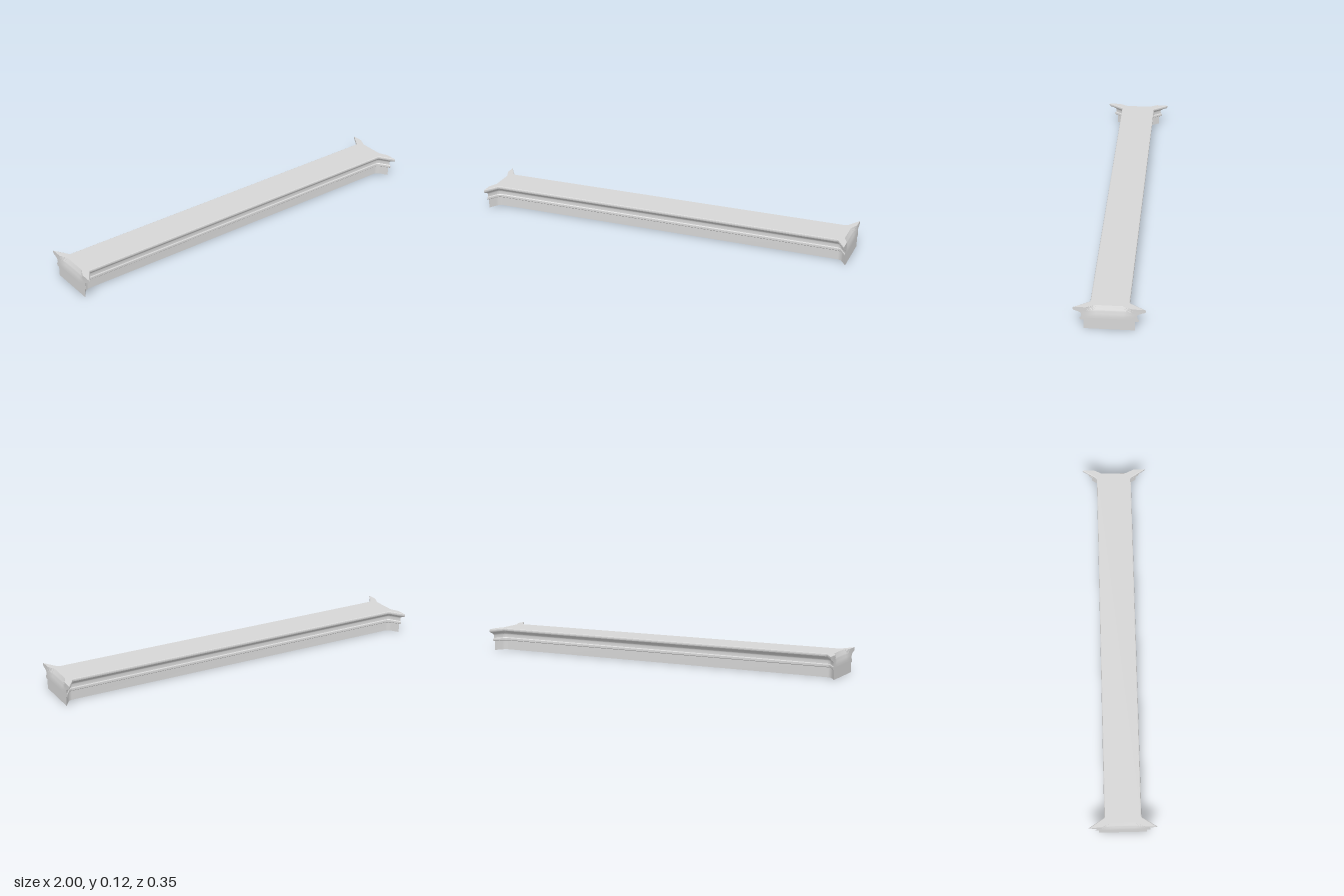
import * as THREE from 'three';
import { toCreasedNormals } from 'three/addons/utils/BufferGeometryUtils.js';

// moulding profile at the flared ends: [half width, height]
const PROFILE = [
  [0.122, 0], [0.122, 0.05], [0.134, 0.051], [0.139, 0.054], [0.14, 0.06],
  [0.138, 0.065], [0.132, 0.069], [0.131, 0.085], [0.134, 0.09], [0.141, 0.095],
  [0.153, 0.1], [0.165, 0.104], [0.171, 0.109], [0.173, 0.115], [0.171, 0.12], [0.165, 0.122],
];
const TOP = 0.122;
const BASE = 0.122;        // half width of the base at the ends
const MIDDLE = 0.066;      // half width of the base along the middle
const RADIUS = 0.04;       // bend between the straight side and the flare
const ANGLE = Math.atan(1.55);
const BENDS = 6;
// x where the bend starts, so that the flare meets the base width at x = 1
const BEND_X = 1 - (BASE - MIDDLE - RADIUS + RADIUS / Math.cos(ANGLE)) / Math.tan(ANGLE);

// plan line [x, z] of one side: the moulding keeps its depth round the bend,
// so the slanting cut at the end stretches it
function sideLine(half) {
  const r = RADIUS - (half - BASE) * Math.cos(ANGLE);
  const pts = [];
  for (let i = 0; i <= BENDS; i++) {
    const a = ANGLE * i / BENDS;
    pts.push([BEND_X + r * Math.sin(a), MIDDLE + RADIUS - r * Math.cos(a)]);
  }
  pts.push([1, half]);
  return [...pts.map(([x, z]) => [-x, z]).reverse(), ...pts];
}

// surface through a grid of points given as rows of columns
function gridGeometry(rows, cols, point) {
  const pos = [], index = [];
  for (let r = 0; r < rows; r++) {
    for (let c = 0; c < cols; c++) pos.push(...point(r, c));
  }
  for (let r = 0; r < rows - 1; r++) {
    for (let c = 0; c < cols - 1; c++) {
      const a = r * cols + c, d = a + cols;
      index.push(a, a + 1, d + 1, a, d + 1, d);
    }
  }
  const geo = new THREE.BufferGeometry();
  geo.setAttribute('position', new THREE.Float32BufferAttribute(pos, 3));
  geo.setIndex(index);
  return toCreasedNormals(geo, 0.4);
}

// depth of the hollow in the upper part of each end
function hollow(y) {
  if (y <= 0.069) return 0;
  return y < 0.1 ? 0.01 * (y - 0.069) / 0.031 : 0.01 + 0.012 * (y - 0.1) / (TOP - 0.1);
}

// plan outline at a given half width, with hollowed ends of depth d
function outline(half, d) {
  const front = sideLine(half);
  const right = [[1, 0.11], [1 - d, 0.065], [1 - d, -0.065], [1, -0.11]];
  const turn = ([x, z]) => [-x, -z];
  const pts = [...front, ...right, ...front.map(turn), ...right.map(turn)];
  return new THREE.Shape(pts.map(([x, z]) => new THREE.Vector2(x, z)));
}

export function createModel() {
  const group = new THREE.Group();
  const stone = new THREE.MeshStandardMaterial({ color: 0xd6d6d6 });
  stone.name = 'light grey';

  const add = (name, geo, turn = 0) => {
    const mesh = new THREE.Mesh(geo, stone);
    mesh.name = name;
    mesh.rotation.y = turn;
    group.add(mesh);
  };

  // long moulded sides with flared ends
  const lines = PROFILE.map(([half]) => sideLine(half));
  const side = gridGeometry(PROFILE.length, lines[0].length, (r, c) => {
    const [x, z] = lines[r][c];
    return [x, PROFILE[r][1], z];
  });
  add('frontMoulding', side);
  add('backMoulding', side, Math.PI);

  // end faces, hollowed towards the top
  const end = gridGeometry(PROFILE.length, 6, (r, c) => {
    const [half, y] = PROFILE[r];
    const z = [half, 0.11, 0.065, -0.065, -0.11, -half][c];
    return [c === 2 || c === 3 ? 1 - hollow(y) : 1, y, z];
  });
  add('leftEnd', end);
  add('rightEnd', end, Math.PI);

  // flat top and underside
  const top = new THREE.ShapeGeometry(outline(0.165, hollow(TOP)));
  top.rotateX(-Math.PI / 2).translate(0, TOP, 0);
  add('topFace', top);
  const bottom = new THREE.ShapeGeometry(outline(BASE, 0));
  bottom.rotateX(Math.PI / 2);
  add('underside', bottom);

  return group;
}
